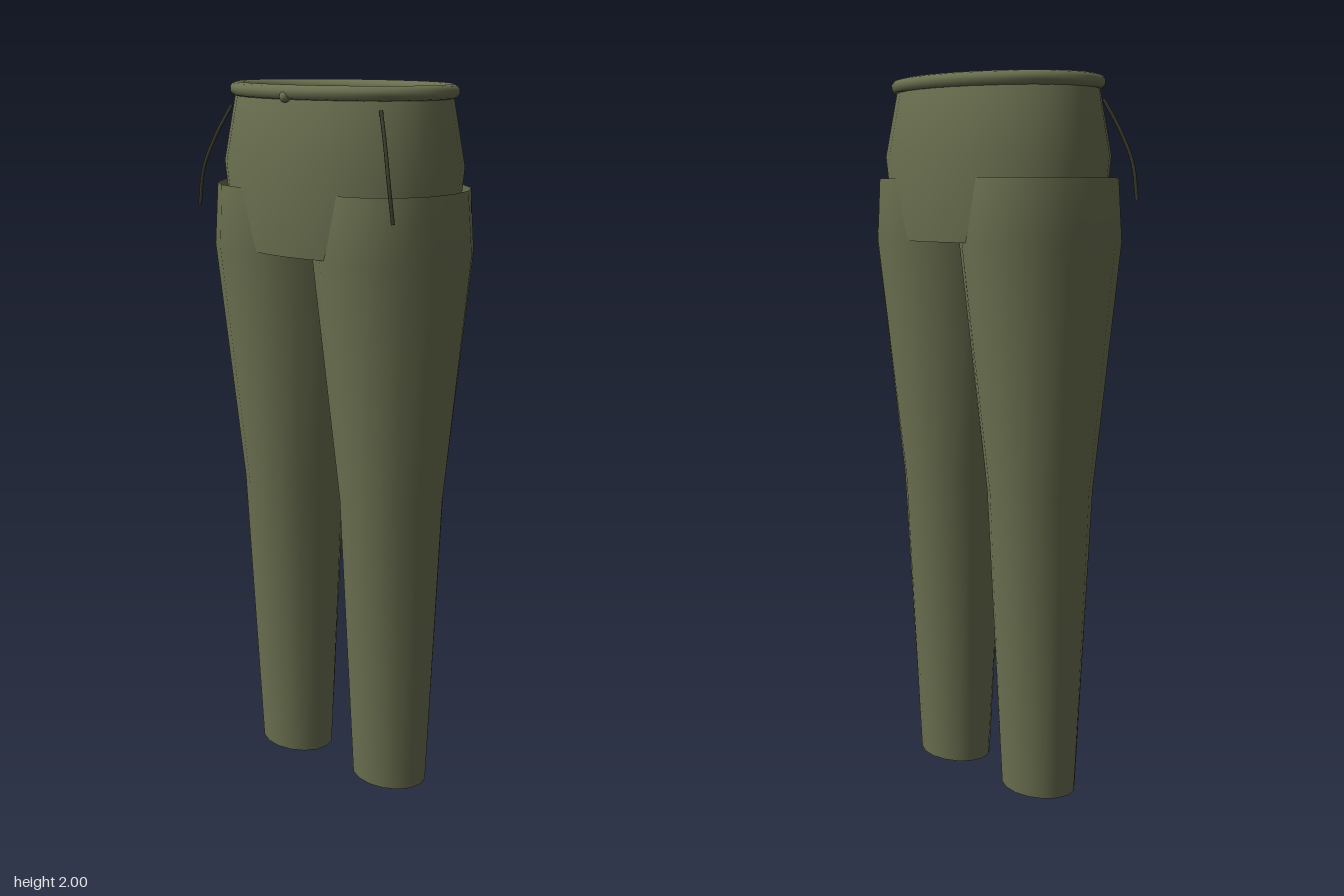
import * as THREE from 'three';

const fabric = new THREE.MeshStandardMaterial({ color: 0x6b7050, side: THREE.DoubleSide });
fabric.name = 'olive fabric';
const dark = new THREE.MeshStandardMaterial({ color: 0x3e3e2e });
dark.name = 'dark trim';

// Open tube through elliptical sections [y, centreX, radiusX, radiusZ]
function loft(sections, sides) {
  const positions = [], index = [];
  sections.forEach(([y, cx, rx, rz], row) => {
    for (let i = 0; i < sides; i++) {
      const a = (i / sides) * Math.PI * 2;
      positions.push(cx + Math.sin(a) * rx, y, Math.cos(a) * rz);
      if (row === 0) continue;
      const j = (i + 1) % sides, lo = (row - 1) * sides, hi = row * sides;
      index.push(lo + i, lo + j, hi + j, lo + i, hi + j, hi + i);
    }
  });
  const g = new THREE.BufferGeometry();
  g.setAttribute('position', new THREE.Float32BufferAttribute(positions, 3));
  g.setIndex(index);
  g.computeVertexNormals();
  return g;
}

export function createModel() {
  const model = new THREE.Group();
  model.name = 'trousers';
  const add = (name, geometry, material) => {
    const mesh = new THREE.Mesh(geometry, material);
    mesh.name = name;
    model.add(mesh);
    return mesh;
  };

  // Hip section, open at the top and bottom
  add('hips', loft([
    [1.56, 0, 0.34, 0.236],
    [1.79, 0, 0.362, 0.26],
    [1.975, 0, 0.328, 0.224],
  ], 32), fabric);

  // Rolled waistband
  const waist = new THREE.EllipseCurve(0, 0, 0.326, 0.222).getPoints(48).slice(0, 48)
    .map((p) => new THREE.Vector3(p.x, 1.981, -p.y));
  add('waistband', new THREE.TubeGeometry(
    new THREE.CatmullRomCurve3(waist, true), 64, 0.019, 10, true), fabric);

  // Front button
  add('button', new THREE.SphereGeometry(0.015, 12, 8), fabric).position.set(0, 1.97, 0.232);

  for (const [side, s] of [['left', 1], ['right', -1]]) {
    // Tapered leg, overlapping its twin above the knee
    add(side + 'Leg', loft([
      [0, s * 0.18, 0.117, 0.093],
      [0.87, s * 0.18, 0.145, 0.15],
      [1.56, s * 0.1775, 0.2075, 0.234],
      [1.73, s * 0.178, 0.192, 0.228],
    ], 16), fabric);

    // Pocket piping
    const path = [[0.255, 1.94, 0.16], [0.29, 1.86, 0.188], [0.319, 1.77, 0.21], [0.335, 1.67, 0.212]]
      .map(([x, y, z]) => new THREE.Vector3(s * x, y, z));
    add(side + 'PocketPiping', new THREE.TubeGeometry(
      new THREE.CatmullRomCurve3(path), 16, 0.005, 6), dark);
  }
  return model;
}
